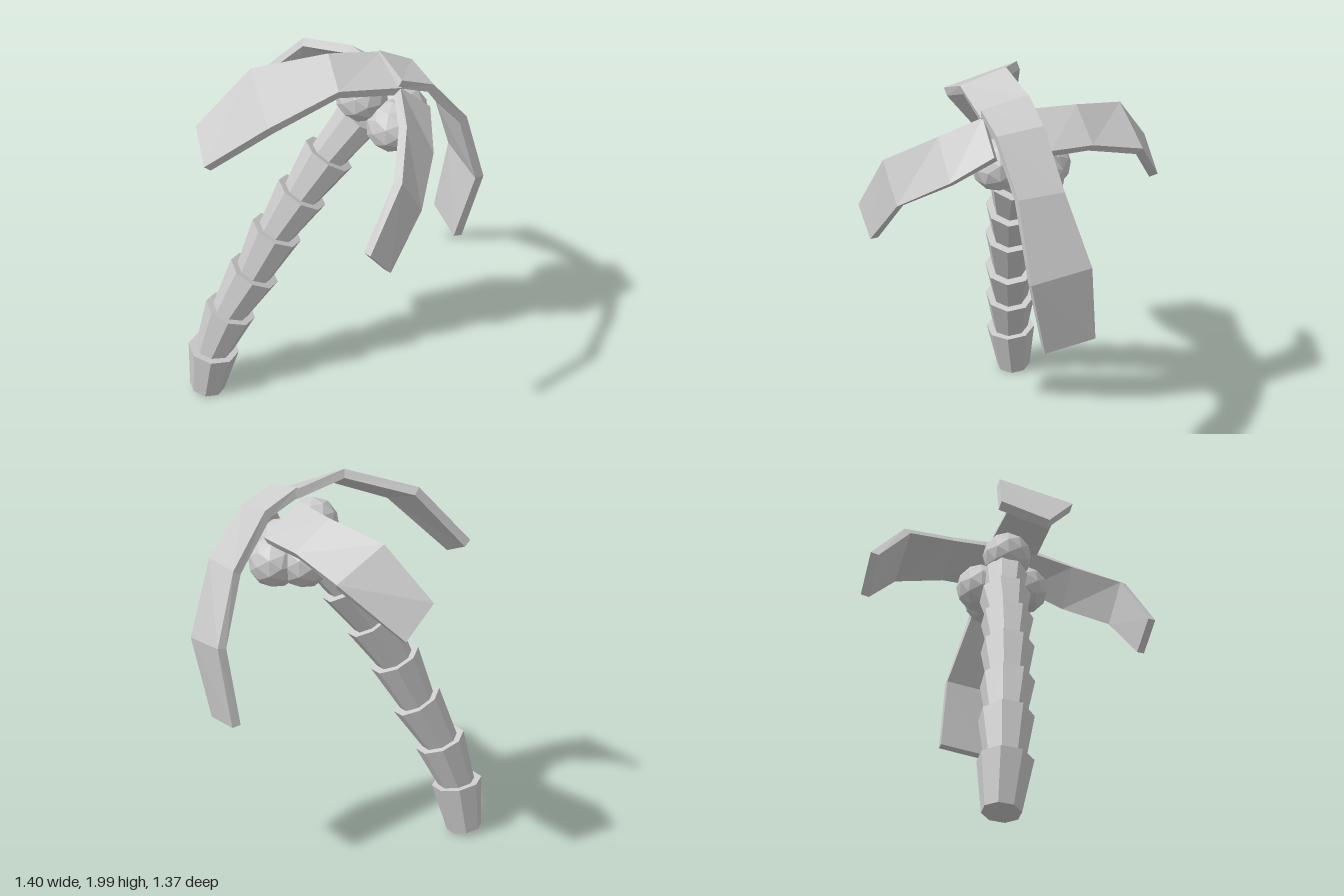
import * as THREE from 'three';

const material = new THREE.MeshStandardMaterial({ color: 0xcccccc, flatShading: true });
const V = (p) => new THREE.Vector3(...p);

function addMesh(parent, geometry, name) {
  const mesh = new THREE.Mesh(geometry, material);
  mesh.name = name;
  parent.add(mesh);
  return mesh;
}

// Thick bent strip: each section is a [left, right] pair of top-surface corners
function frondGeometry(sections, thickness = 0.045) {
  const pairs = sections.map(([l, r]) => [V(l), V(r)]);
  const mids = pairs.map(([l, r]) => l.clone().add(r).multiplyScalar(0.5));
  const last = pairs.length - 1;
  const positions = [];
  const index = [];
  pairs.forEach(([l, r], i) => {
    const along = mids[Math.min(i + 1, last)].clone().sub(mids[Math.max(i - 1, 0)]);
    const down = along.cross(r.clone().sub(l)).normalize().multiplyScalar(-thickness);
    for (const p of [l, r, r.clone().add(down), l.clone().add(down)]) positions.push(p.x, p.y, p.z);
  });
  for (let i = 0; i < last; i++) {
    for (let j = 0; j < 4; j++) {
      const a = i * 4 + j;
      const b = i * 4 + ((j + 1) % 4);
      index.push(a, a + 4, b + 4, a, b + 4, b);
    }
  }
  const e = last * 4;
  index.push(0, 1, 2, 0, 2, 3, e, e + 2, e + 1, e, e + 3, e + 2);
  const geometry = new THREE.BufferGeometry();
  geometry.setAttribute('position', new THREE.Float32BufferAttribute(positions, 3));
  geometry.setIndex(index);
  const flat = geometry.toNonIndexed();
  flat.computeVertexNormals();
  return flat;
}

export function createModel() {
  const model = new THREE.Group();
  model.name = 'palmTree';

  // Leaning trunk: stacked flared segments along a curved line
  const trunk = new THREE.Group();
  trunk.name = 'trunk';
  model.add(trunk);
  const joints = [
    [-0.395, 0.022, 0.575], [-0.355, 0.285, 0.55], [-0.295, 0.53, 0.475], [-0.215, 0.765, 0.375],
    [-0.145, 1.005, 0.28], [-0.07, 1.22, 0.175], [0.0, 1.425, 0.06], [0.09, 1.63, -0.06],
  ].map(V);
  for (let i = 0; i < joints.length - 1; i++) {
    const axis = joints[i + 1].clone().sub(joints[i]);
    const overlap = i ? 0.02 : 0;
    const topRadius = i === joints.length - 2 ? 0.115 : 0.132;
    const geometry = new THREE.CylinderGeometry(topRadius, 0.092, axis.length() + overlap, 8);
    const segment = addMesh(trunk, geometry, 'trunkSegment');
    segment.position.copy(joints[i]).addScaledVector(axis, 0.5);
    segment.position.addScaledVector(axis.clone().normalize(), -overlap / 2);
    segment.quaternion.setFromUnitVectors(new THREE.Vector3(0, 1, 0), axis.normalize());
  }

  // Coconuts clustered under the crown
  for (const p of [[0.1, 1.75, -0.06], [0.25, 1.625, -0.12], [0.14, 1.6, -0.29], [0.03, 1.6, -0.2]]) {
    addMesh(model, new THREE.IcosahedronGeometry(0.128, 1), 'coconut').position.set(...p);
  }

  // Four drooping fronds, listed from the crown to the tip
  const fronds = {
    frontFrond: [
      [[0.1, 1.94, -0.18], [0.33, 1.87, -0.1]],
      [[0.03, 2.0, 0.09], [0.225, 1.92, 0.2]],
      [[-0.235, 1.905, 0.34], [0.09, 1.79, 0.515]],
      [[-0.385, 1.615, 0.565], [-0.185, 1.525, 0.68]],
    ],
    rightFrond: [
      [[0.13, 1.74, -0.37], [0.1, 1.88, -0.165]],
      [[-0.1, 1.72, -0.4], [-0.15, 1.86, -0.22]],
      [[-0.39, 1.64, -0.435], [-0.46, 1.79, -0.185]],
      [[-0.66, 1.38, -0.26], [-0.7, 1.54, -0.11]],
    ],
    backFrond: [
      [[0.33, 1.91, -0.1], [0.1, 1.95, -0.17]],
      [[0.37, 1.84, -0.27], [0.15, 1.86, -0.34]],
      [[0.405, 1.6, -0.47], [0.18, 1.6, -0.53]],
      [[0.425, 1.22, -0.59], [0.14, 1.26, -0.685]],
      [[0.32, 0.82, -0.565], [0.085, 0.86, -0.655]],
    ],
    leftFrond: [
      [[0.32, 1.87, -0.1], [0.37, 1.73, -0.25]],
      [[0.49, 1.78, 0.02], [0.53, 1.6, -0.12]],
      [[0.67, 1.645, 0.22], [0.68, 1.45, 0.1]],
      [[0.685, 1.35, 0.425], [0.7, 1.21, 0.31]],
    ],
  };
  for (const [name, sections] of Object.entries(fronds)) addMesh(model, frondGeometry(sections), name);

  return model;
}
